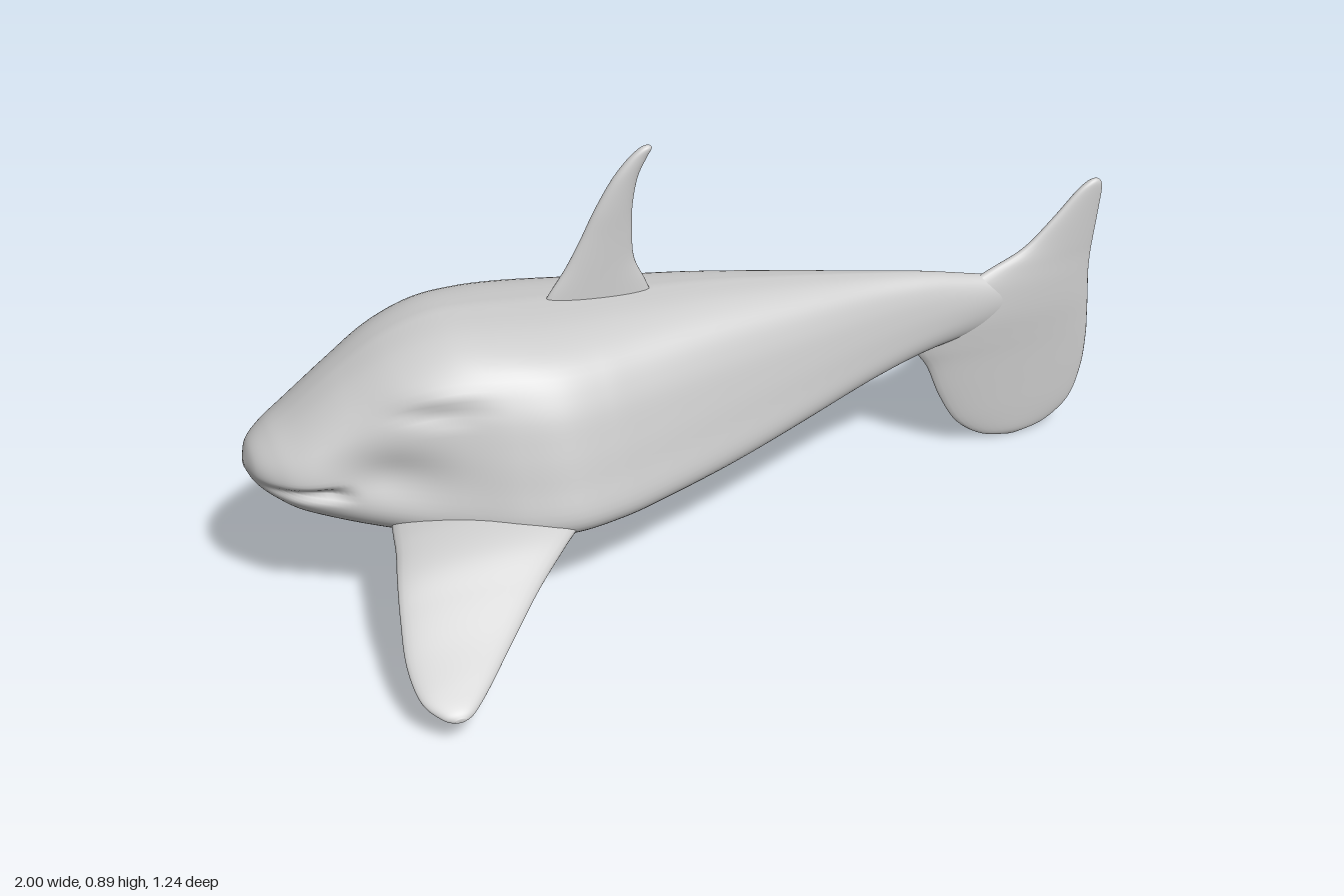
import * as THREE from 'three';

const material = new THREE.MeshStandardMaterial({ color: 0xcccccc });

// Smooth interpolation through the rows of a table, t from 0 to 1
function spline(rows, t) {
  const last = rows.length - 1;
  const s = t * last, i = Math.min(Math.floor(s), last - 1), f = s - i;
  const [a, b, c, d] = [i - 1, i, i + 1, i + 2].map(k => rows[Math.max(0, Math.min(last, k))]);
  return b.map((v, k) => v + 0.5 * f * (c[k] - a[k]
    + f * (2 * a[k] - 5 * v + 4 * c[k] - d[k] + f * (3 * (v - c[k]) + d[k] - a[k]))));
}

// Closed skin over a list of rings, capped at both ends, always facing outwards
function loft(name, rings) {
  const n = rings[0].length, pos = [], idx = [];
  rings.forEach(r => r.forEach(p => pos.push(p.x, p.y, p.z)));
  for (let i = 0; i < rings.length - 1; i++) {
    for (let j = 0; j < n; j++) {
      const a = i * n + j, b = i * n + (j + 1) % n;
      idx.push(a, b, a + n, b, b + n, a + n);
    }
  }
  [0, rings.length - 1].forEach((r, end) => {
    const c = new THREE.Vector3();
    rings[r].forEach(p => c.addScaledVector(p, 1 / n));
    const ci = pos.length / 3;
    pos.push(c.x, c.y, c.z);
    for (let j = 0; j < n; j++) {
      const a = r * n + j, b = r * n + (j + 1) % n;
      if (end) idx.push(ci, a, b); else idx.push(ci, b, a);
    }
  });
  const at = k => new THREE.Vector3().fromArray(pos, 3 * k);
  let volume = 0;
  for (let k = 0; k < idx.length; k += 3) {
    volume += at(idx[k]).dot(at(idx[k + 1]).cross(at(idx[k + 2])));
  }
  if (volume < 0) idx.reverse();
  const geo = new THREE.BufferGeometry();
  geo.setAttribute('position', new THREE.Float32BufferAttribute(pos, 3));
  geo.setIndex(idx);
  geo.computeVertexNormals();
  const mesh = new THREE.Mesh(geo, material);
  mesh.name = name;
  return mesh;
}

// Fin from rows [span, leading x, trailing x, half thickness, ...]; place maps to 3D
function fin(name, rows, place) {
  const rings = [];
  for (let i = 0; i <= 60; i++) {
    const row = spline(rows, i / 60), [, lead, trail, thick] = row, ring = [];
    for (let j = 0; j < 32; j++) {
      const a = j / 32 * Math.PI * 2;
      ring.push(place((lead + trail) / 2 + (trail - lead) / 2 * Math.cos(a), thick * Math.sin(a), row));
    }
    rings.push(ring);
  }
  return loft(name, rings);
}

// Body rows: x, bottom y, top y, half width, roundness of section
const bodyRows = [
  [-1, 0.325, 0.34, 0.012, 1], [-0.985, 0.295, 0.372, 0.065, 1], [-0.95, 0.264, 0.4, 0.112, 0.9],
  [-0.9, 0.235, 0.432, 0.15, 0.75], [-0.8, 0.2, 0.505, 0.19, 0.5], [-0.7, 0.188, 0.565, 0.235, 0.25],
  [-0.6, 0.183, 0.596, 0.275, 0.08], [-0.5, 0.18, 0.595, 0.312, 0], [-0.4, 0.178, 0.585, 0.328, 0],
  [-0.3, 0.175, 0.577, 0.308, 0], [-0.2, 0.176, 0.57, 0.275, 0], [0, 0.19, 0.555, 0.21, 0.05],
  [0.2, 0.22, 0.53, 0.148, 0.15], [0.4, 0.253, 0.5, 0.086, 0.35], [0.55, 0.28, 0.475, 0.055, 0.6],
  [0.7, 0.3, 0.442, 0.036, 1], [0.82, 0.33, 0.42, 0.024, 1], [0.94, 0.36, 0.4, 0.008, 1],
];

// Half of the body section: flat belly, low flanks, domed back
const section = [[0, 0], [0.35, 0], [0.7, 0.01], [0.92, 0.045], [1, 0.14], [0.95, 0.32], [0.89, 0.5],
  [0.8, 0.7], [0.64, 0.87], [0.36, 0.97], [0, 1]];

const bump = (v, centre, width) => Math.exp(-(((v - centre) / width) ** 2));

// Mouth slit, hollow cheek and eye crease, as a factor on the half width
function carve(x, y) {
  const ends = THREE.MathUtils.smoothstep(-x, 0.8, 0.86);
  return 1 - 0.13 * ends * bump(y, 0.31, 0.011)
    - 0.13 * bump(x, -0.74, 0.1) * bump(y, 0.345, 0.055)
    - 0.06 * bump(x, -0.64, 0.07) * bump(y, 0.472 + 0.1 * (x + 0.64), 0.013)
    + 0.05 * bump(x, -0.64, 0.09) * bump(y, 0.505, 0.03);
}

function body() {
  const half = 48, rings = [];
  for (let i = 0; i <= 170; i++) {
    const [x, bottom, top, width, round] = spline(bodyRows, i / 170);
    const ring = [];
    for (let j = 0; j < half * 2; j++) {
      const t = (j <= half ? j : half * 2 - j) / half, side = j <= half ? 1 : -1;
      const [u, h] = spline(section, t);
      const w = THREE.MathUtils.lerp(u, Math.sin(t * Math.PI), round);
      const v = THREE.MathUtils.lerp(h, (1 - Math.cos(t * Math.PI)) / 2, round);
      const y = bottom + (top - bottom) * v;
      ring.push(new THREE.Vector3(x, y, side * w * width * carve(x, y)));
    }
    rings.push(ring);
  }
  return loft('body', rings);
}

export function createModel() {
  const group = new THREE.Group();
  group.name = 'whale';
  group.add(body());

  // Swept dorsal fin with a hooked tip
  const upright = (x, t, row) => new THREE.Vector3(x, row[0], 0.005 + t);
  group.add(fin('dorsalFin', [
    [0.54, -0.37, -0.11, 0.022], [0.585, -0.345, -0.128, 0.02], [0.64, -0.305, -0.152, 0.018],
    [0.7, -0.27, -0.156, 0.016], [0.76, -0.238, -0.154, 0.015], [0.82, -0.2, -0.142, 0.013],
    [0.86, -0.165, -0.122, 0.011], [0.88, -0.14, -0.11, 0.009], [0.887, -0.126, -0.114, 0.003],
  ], upright));

  // Tall vertical tail: rounded lower lobe, pointed upper lobe
  group.add(fin('tailFin', [
    [0.002, 0.79, 0.83, 0.004], [0.02, 0.72, 0.9, 0.012], [0.07, 0.652, 0.963, 0.016],
    [0.15, 0.602, 0.99, 0.019], [0.23, 0.567, 0.996, 0.022], [0.28, 0.535, 0.994, 0.025],
    [0.34, 0.53, 0.99, 0.028], [0.4, 0.6, 0.985, 0.026], [0.45, 0.71, 0.985, 0.021],
    [0.49, 0.8, 0.988, 0.018], [0.55, 0.87, 0.994, 0.015], [0.61, 0.93, 0.999, 0.012],
    [0.63, 0.957, 0.994, 0.009], [0.637, 0.972, 0.985, 0.003],
  ], upright));

  // Pair of drooping side flippers, rows end with height
  const flipperRows = [
    [0.14, -0.74, -0.34, 0.03, 0.235], [0.22, -0.755, -0.34, 0.033, 0.232], [0.28, -0.765, -0.365, 0.034, 0.224],
    [0.35, -0.782, -0.435, 0.029, 0.205], [0.42, -0.797, -0.515, 0.024, 0.167], [0.5, -0.81, -0.597, 0.02, 0.12],
    [0.57, -0.804, -0.665, 0.016, 0.083], [0.61, -0.775, -0.708, 0.011, 0.063], [0.622, -0.752, -0.73, 0.004, 0.057],
  ];
  for (const [name, side] of [['leftFlipper', -1], ['rightFlipper', 1]]) {
    group.add(fin(name, flipperRows, (x, t, row) => new THREE.Vector3(x, row[4] + t, side * row[0])));
  }
  return group;
}
